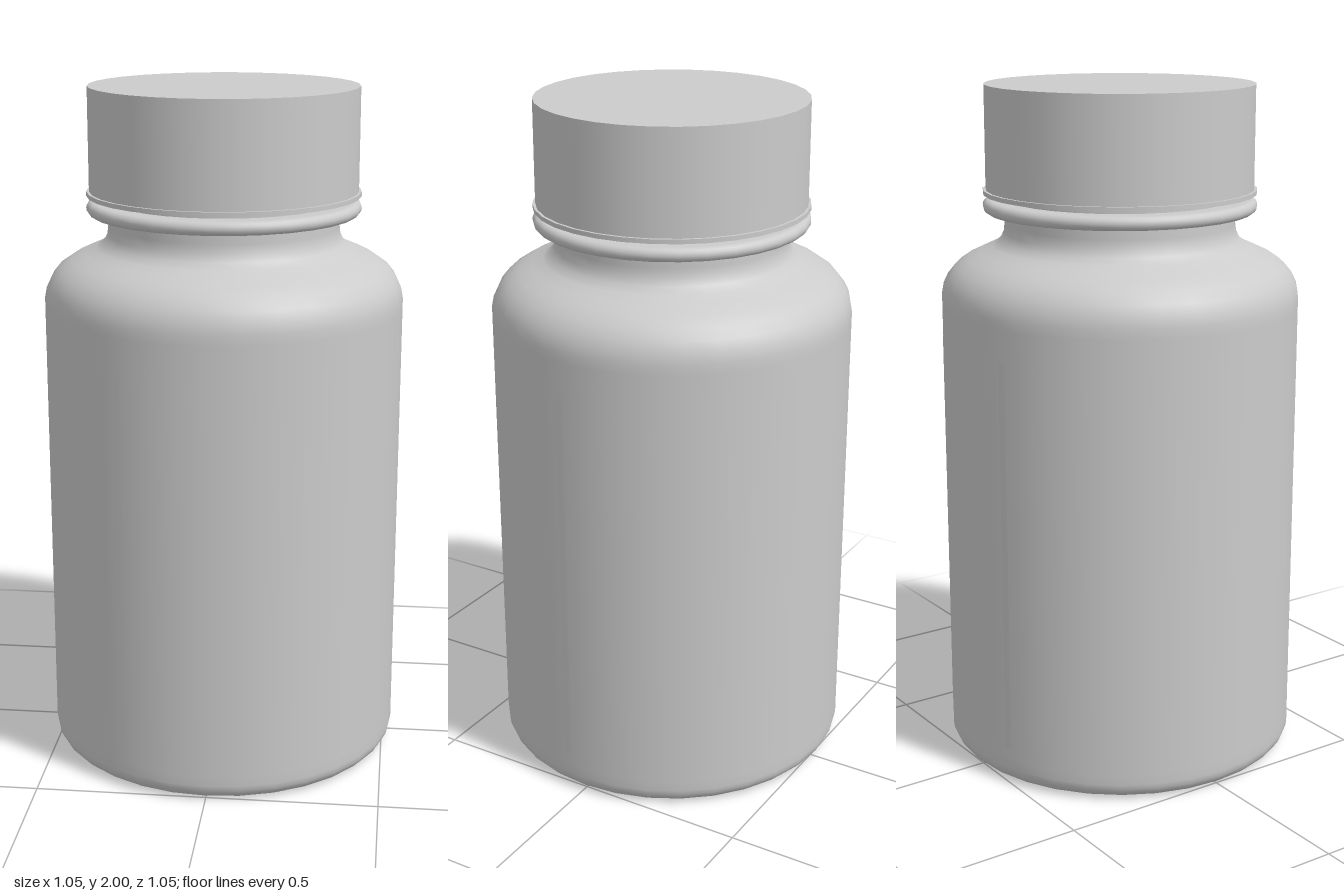
import * as THREE from 'three';

const SIDES = 32;

export function createModel() {
  const group = new THREE.Group();
  const material = new THREE.MeshStandardMaterial({ color: 0xcccccc, side: THREE.DoubleSide });

  const add = (name, geometry, y = 0) => {
    const mesh = new THREE.Mesh(geometry, material);
    mesh.name = name;
    mesh.position.y = y;
    group.add(mesh);
    return mesh;
  };
  const lathe = (points) =>
    new THREE.LatheGeometry(points.map(([r, y]) => new THREE.Vector2(r, y)), SIDES);

  // Bottle body: flat base, rounded heel, straight wall, domed shoulder, neck
  const heel = [];
  for (let i = 0; i <= 5; i++) {
    const a = (i / 5) * Math.PI / 2;
    heel.push([0.477 + 0.05 * Math.sin(a), 0.05 - 0.05 * Math.cos(a)]);
  }
  add('bottleBody', lathe([
    [0, 0], [0.46, 0], ...heel, [0.527, 0.08], [0.527, 1.36],
    [0.527, 1.39], [0.521, 1.421], [0.507, 1.45], [0.484, 1.478], [0.45, 1.501],
    [0.41, 1.52], [0.375, 1.535], [0.352, 1.552], [0.341, 1.575], [0.338, 1.6],
    [0.338, 1.7],
  ]));

  // Wrap-around label, turned half a facet so its corners just break the wall
  const label = add('label', new THREE.CylinderGeometry(0.5256, 0.5256, 1.16, SIDES, 1, true), 0.69);
  label.rotation.y = Math.PI / SIDES;

  // Rounded bead round the neck
  const bead = [[0.33, 1.632]];
  for (let i = 0; i <= 8; i++) {
    const a = -Math.PI / 2 + (i / 8) * Math.PI;
    bead.push([0.381 + 0.02 * Math.cos(a), 1.652 + 0.02 * Math.sin(a)]);
  }
  bead.push([0.33, 1.672]);
  add('neckBead', lathe(bead));

  // Thin rim below the cap, and the cap
  add('capRim', new THREE.CylinderGeometry(0.4, 0.4, 0.013, SIDES), 1.693);
  add('cap', new THREE.CylinderGeometry(0.392, 0.392, 0.304, SIDES), 1.848);

  return group;
}
